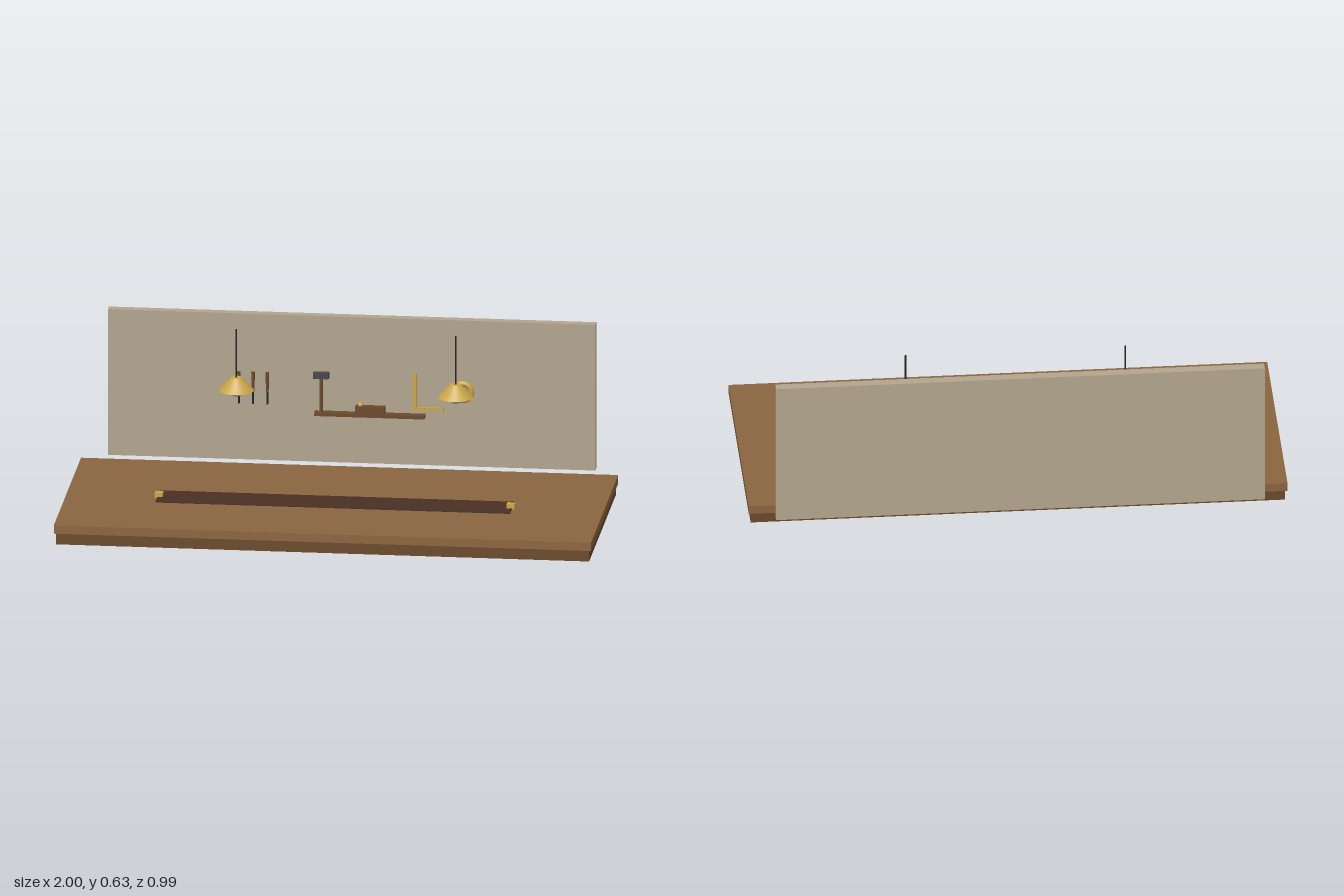
import * as THREE from 'three';

const mat = (color, extra = {}) => new THREE.MeshStandardMaterial({ color, ...extra });
const wood = mat(0x8b6540), darkWood = mat(0x6b4a2b), leather = mat(0x4a3023);
const plaster = mat(0xb3a68f), steel = mat(0x46464c), iron = mat(0x222222);
const brass = mat(0xc9a548), shadeBrass = mat(0xc9a548, { side: THREE.DoubleSide });
const glass = mat(0xd8c8a0);

function add(parent, name, geometry, material, x, y, z) {
  const mesh = new THREE.Mesh(geometry, material);
  mesh.name = name;
  mesh.position.set(x, y, z);
  parent.add(mesh);
  return mesh;
}

// box given by its limits on each axis
function box(parent, name, material, [x0, x1], [y0, y1], [z0, z1]) {
  return add(parent, name, new THREE.BoxGeometry(x1 - x0, y1 - y0, z1 - z0), material,
    (x0 + x1) / 2, (y0 + y1) / 2, (z0 + z1) / 2);
}

function rod(parent, name, material, x, z, y0, y1, rTop, rBottom = rTop) {
  return add(parent, name, new THREE.CylinderGeometry(rTop, rBottom, y1 - y0, 16), material,
    x, (y0 + y1) / 2, z);
}

function group(parent, name) {
  const g = new THREE.Group();
  g.name = name;
  parent.add(g);
  return g;
}

export function createModel() {
  const model = new THREE.Group();
  model.name = 'workshopCounter';

  // counter with a slightly inset base
  box(model, 'counterTop', wood, [-1, 1], [0.043, 0.075], [-0.395, 0.495]);
  box(model, 'counterBase', darkWood, [-0.992, 0.992], [0, 0.043], [-0.385, 0.487]);

  // leather runner with a brass weight at each end
  box(model, 'leatherRunner', leather, [-0.66, 0.66], [0.075, 0.079], [0.008, 0.155]);
  for (const s of [-1, 1]) {
    const x = s * 0.655;
    box(model, 'runnerWeight', brass, [x - 0.015, x + 0.015], [0.075, 0.094], [0.067, 0.097]);
  }

  // back wall
  box(model, 'backWall', plaster, [-0.907, 0.907], [0.07, 0.632], [-0.495, -0.46]);

  // pendant lamps
  for (const s of [-1, 1]) {
    const lamp = group(model, 'pendantLamp');
    lamp.position.set(s * 0.408, 0, -0.277);
    rod(lamp, 'lampCord', iron, 0, 0, 0.43, 0.625, 0.003);
    const profile = [[0.066, 0.39], [0.02, 0.44], [0.02, 0.44], [0, 0.44]]
      .map(([r, y]) => new THREE.Vector2(r, y));
    add(lamp, 'lampShade', new THREE.LatheGeometry(profile, 32), shadeBrass, 0, 0, 0);
    add(lamp, 'lampBulb', new THREE.SphereGeometry(0.028, 24, 16), glass, 0, 0.393, 0);
  }

  const tools = group(model, 'wallTools');

  // chisels
  for (let i = 0; i < 3; i++) {
    const x = -0.419 + i * 0.053, chisel = group(tools, 'chisel');
    rod(chisel, 'chiselHandle', darkWood, x, -0.453, 0.335, 0.41, 0.007, 0.005);
    rod(chisel, 'chiselBlade', iron, x, -0.453, 0.288, 0.335, 0.004);
  }

  // shelf
  box(tools, 'toolShelf', darkWood, [-0.136, 0.275], [0.256, 0.268], [-0.46, -0.424]);

  // hammer
  box(tools, 'hammerHead', steel, [-0.142, -0.083], [0.395, 0.418], [-0.46, -0.438]);
  rod(tools, 'hammerHandle', darkWood, -0.112, -0.449, 0.268, 0.395, 0.007);

  // hand plane
  box(tools, 'planeBody', darkWood, [0.016, 0.126], [0.268, 0.295], [-0.458, -0.429]);
  add(tools, 'planeKnob', new THREE.SphereGeometry(0.009, 16, 12), brass, 0.034, 0.299, -0.444);

  // try square
  box(tools, 'squareUpright', brass, [0.227, 0.243], [0.282, 0.422], [-0.457, -0.449]);
  box(tools, 'squareArm', brass, [0.243, 0.342], [0.282, 0.294], [-0.457, -0.449]);

  // hanging ring
  add(tools, 'brassRing', new THREE.TorusGeometry(0.032, 0.011, 16, 32), brass, 0.415, 0.36, -0.449);

  return model;
}
